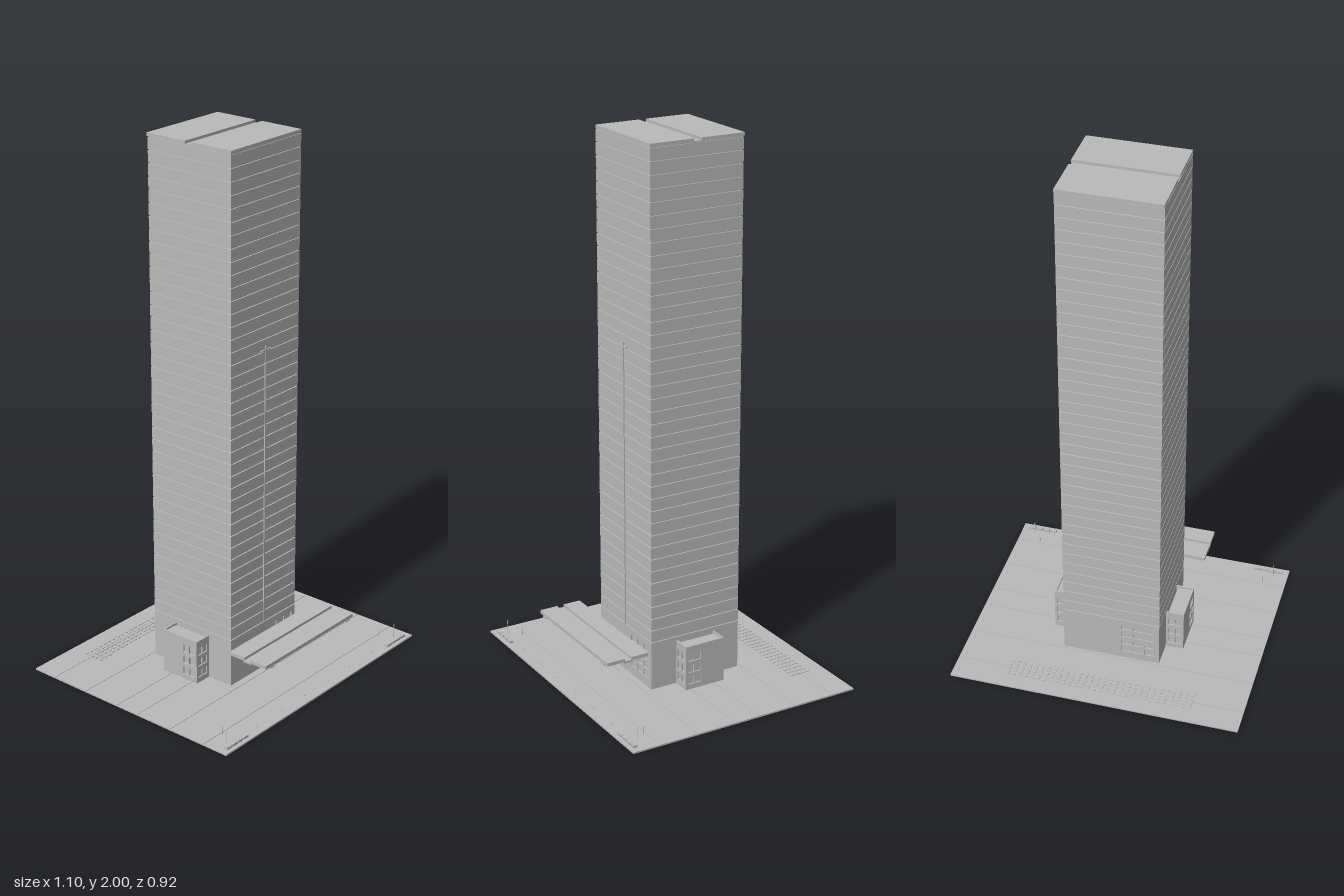
import * as THREE from 'three';

const concrete = new THREE.MeshStandardMaterial({ color: 0xbababa });
concrete.name = 'concrete grey';

// Box given by its limits on each axis
function block(parent, name, x0, x1, y0, y1, z0, z1) {
  const mesh = new THREE.Mesh(new THREE.BoxGeometry(x1 - x0, y1 - y0, z1 - z0), concrete);
  mesh.position.set((x0 + x1) / 2, (y0 + y1) / 2, (z0 + z1) / 2);
  mesh.name = name;
  parent.add(mesh);
  return mesh;
}

// Wall panel in the xy plane with a list of openings [x0, x1, y0, y1]
function wall(parent, name, w, h, depth, openings) {
  const rect = (path, x0, x1, y0, y1) =>
    path.moveTo(x0, y0).lineTo(x1, y0).lineTo(x1, y1).lineTo(x0, y1).closePath();
  const shape = rect(new THREE.Shape(), -w / 2, w / 2, 0, h);
  for (const o of openings) shape.holes.push(rect(new THREE.Path(), ...o));
  const mesh = new THREE.Mesh(new THREE.ExtrudeGeometry(shape, { depth, bevelEnabled: false }), concrete);
  mesh.name = name;
  parent.add(mesh);
  return mesh;
}

// Regular grid of openings
function grid(xStart, yStart, cols, rows, dx, dy, w, h) {
  const list = [];
  for (let c = 0; c < cols; c++)
    for (let r = 0; r < rows; r++) {
      const x = xStart + c * dx, y = yStart + r * dy;
      list.push([x, x + w, y, y + h]);
    }
  return list;
}

function makePlaza() {
  const g = new THREE.Group();
  g.name = 'plaza';
  // Paving strips divided by fine joints
  const cuts = [-0.46, -0.36, -0.205, -0.052, 0.047, 0.2, 0.353, 0.457];
  block(g, 'plazaBase', -0.55, 0.55, 0, 0.004, -0.46, 0.457);
  for (let i = 0; i < cuts.length - 1; i++)
    block(g, 'pavingStrip', -0.55, 0.55, 0.004, 0.006, cuts[i] + (i ? 0.001 : 0), cuts[i + 1] - (i < 6 ? 0.001 : 0));
  // Rows of low bays at the back
  for (let i = 0; i < 30; i++) {
    const x = -0.357 + i * 0.0241;
    for (const z of [-0.398, -0.381, -0.367, -0.35, -0.333])
      block(g, 'bay', x, x + 0.014, 0.006, 0.009, z, z + 0.012);
    if (i < 3) block(g, 'extraBay', x, x + 0.014, 0.006, 0.009, -0.32, -0.313);
  }
  // Planters and lamp posts at the front corners
  for (const s of [-1, 1]) {
    for (let i = 0; i < 4; i++) {
      const x = s * (0.425 + i * 0.029);
      block(g, 'planter', x - 0.013, x + 0.013, 0.006, 0.015, 0.427, 0.442);
    }
    for (const [x, z, h] of [[0.494, 0.41, 0.06], [0.46, 0.365, 0.04]]) {
      const post = new THREE.Mesh(new THREE.CylinderGeometry(0.0015, 0.0015, h, 8), concrete);
      post.position.set(s * x, h / 2, z);
      post.name = 'lampPost';
      g.add(post);
    }
    for (const x of [0.07, 0.2, 0.34])
      block(g, 'bollard', s * x - 0.002, s * x + 0.002, 0.006, 0.01, 0.418, 0.422);
  }
  return g;
}

function makeTower() {
  const g = new THREE.Group();
  g.name = 'tower';
  const X = 0.185, Z0 = -0.195, Z1 = 0.172, base = 0.19, top = 1.985, floors = 39;
  // Recessed core seen through the floor joints and the low windows
  block(g, 'core', -X + 0.005, X - 0.005, 0.006, top, Z0 + 0.005, Z1 - 0.005);
  const step = (top - base) / floors;
  for (let i = 0; i < floors; i++)
    block(g, 'floorBand', -X, X, base + i * step + 0.004, base + (i + 1) * step, Z0, Z1);

  // Lower storeys with window openings
  const h = base - 0.006;
  const front = wall(g, 'frontBaseWall', 2 * X, h, 0.005, grid(0.04, 0.035, 3, 4, 0.044, 0.034, 0.038, 0.024));
  front.position.set(0, 0.006, Z1 - 0.005);
  const back = wall(g, 'backBaseWall', 2 * X, h, 0.005, grid(0.04, 0.03, 3, 4, 0.044, 0.036, 0.038, 0.022));
  back.rotation.y = Math.PI;
  back.position.set(0, 0.006, Z0 + 0.005);
  for (const s of [-1, 1])
    block(g, 'sideBaseWall', Math.min(s * X, s * (X - 0.005)), Math.max(s * X, s * (X - 0.005)), 0.006, base, Z0 + 0.005, Z1 - 0.005);

  // Two roof slabs beside a sunken gutter
  block(g, 'rearRoof', -X, X, top + 0.003, 2, Z0 - 0.004, -0.028);
  block(g, 'frontRoof', -X, X, top + 0.003, 2, 0, Z1);
  block(g, 'roofGutter', -X + 0.003, X - 0.003, top, top + 0.005, Z0 + 0.003, Z1 - 0.003);

  // Slim mast on the front face with a bracket at its head
  block(g, 'mast', -0.003, 0.003, 0.19, 1.27, Z1, Z1 + 0.004);
  block(g, 'mastBracket', -0.028, 0.026, 1.252, 1.258, Z1, Z1 + 0.005);
  return g;
}

function makeWing(s) {
  const g = new THREE.Group();
  g.name = s > 0 ? 'leftWing' : 'rightWing';
  const y0 = 0.006, h = 0.17, zf = 0.068, zb = -0.092, x0 = 0.185, x1 = 0.253, t = 0.006;
  const lo = Math.min(s * x0, s * x1), hi = Math.max(s * x0, s * x1), mid = (lo + hi) / 2;
  block(g, 'wingCore', lo + t, hi - t, y0, y0 + h - 0.008, zb + t, zf - t);
  // End walls facing front and back
  const openings = grid(-0.024, 0.02, 2, 3, 0.026, 0.045, 0.022, 0.03);
  const front = wall(g, 'wingFrontWall', x1 - x0, h, t, openings);
  front.position.set(mid, y0, zf - t);
  const back = wall(g, 'wingBackWall', x1 - x0, h, t, openings);
  back.rotation.y = Math.PI;
  back.position.set(mid, y0, zb + t);
  // Outer wall with windows near the front corner
  const u = s > 0 ? -0.075 : 0.023;
  const outer = wall(g, 'wingOuterWall', zf - zb - 2 * t, h, t, grid(s > 0 ? -0.07 : 0.016, 0.02, 2, 3, 0.028, 0.045, 0.024, 0.03));
  outer.rotation.y = s * Math.PI / 2;
  outer.position.set(s * (x1 - t), y0, (zf + zb) / 2);
  return g;
}

function makeCanopy() {
  const g = new THREE.Group();
  g.name = 'canopy';
  // Two slabs joined by a lower gutter
  block(g, 'canopyRear', -0.255, 0.253, 0.183, 0.196, 0.225, 0.293);
  block(g, 'canopyFront', -0.255, 0.253, 0.183, 0.196, 0.32, 0.39);
  block(g, 'canopyGutter', -0.255, 0.253, 0.177, 0.186, 0.29, 0.323);
  for (const x of [-0.22, 0.22])
    block(g, 'canopyBracket', x - 0.012, x + 0.012, 0.178, 0.183, 0.38, 0.392);
  return g;
}

export function createModel() {
  const model = new THREE.Group();
  model.name = 'officeTower';
  model.add(makePlaza(), makeTower(), makeWing(1), makeWing(-1), makeCanopy());
  return model;
}
